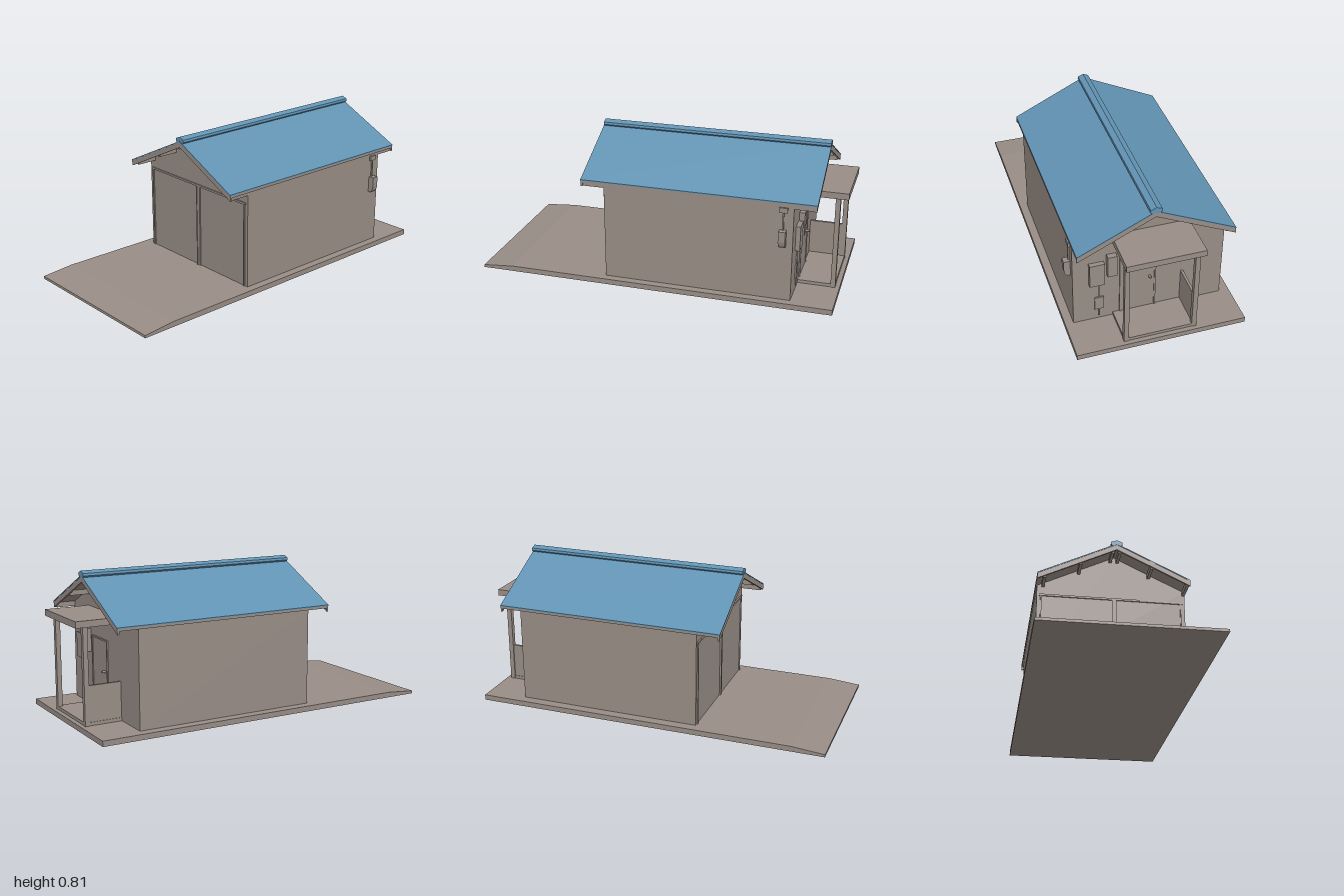
import * as THREE from 'three';

const taupe = new THREE.MeshStandardMaterial({ color: 0x988d86 });
taupe.name = 'taupe';
const blue = new THREE.MeshStandardMaterial({ color: 0x6293b3 });
blue.name = 'roof blue';

export function createModel() {
  const model = new THREE.Group();
  model.name = 'garage';

  const add = (name, geometry, material = taupe) => {
    const mesh = new THREE.Mesh(geometry, material);
    mesh.name = name;
    model.add(mesh);
    return mesh;
  };
  // box given by its lower and upper limits on each axis
  const box = (name, [x0, x1], [y0, y1], [z0, z1], material) => {
    const mesh = add(name, new THREE.BoxGeometry(x1 - x0, y1 - y0, z1 - z0), material);
    mesh.position.set((x0 + x1) / 2, (y0 + y1) / 2, (z0 + z1) / 2);
    return mesh;
  };
  // x,y outline extruded from z0 to z1
  const prism = (name, points, z0, z1, material) => {
    const shape = new THREE.Shape(points.map(([x, y]) => new THREE.Vector2(x, y)));
    const g = new THREE.ExtrudeGeometry(shape, { depth: z1 - z0, bevelEnabled: false });
    return add(name, g.translate(0, 0, z0), material);
  };

  // ground slab with a sloping front apron (outline in z,y turned to run along x)
  const slab = prism('groundSlab', [[-1, 0], [0.98, 0], [0.98, 0.03], [-0.82, 0.03], [-1, 0.015]], -0.46, 0.46);
  slab.rotation.y = Math.PI / 2;

  // gabled body
  const mid = 0.018, eaveL = -0.413, eaveR = 0.422;
  const roofY = (x) => 0.778 - Math.abs(x - mid) * 0.482;
  prism('walls', [
    [-0.405, 0.03], [0.415, 0.03], [0.415, roofY(0.415) - 0.01],
    [mid, 0.768], [-0.405, roofY(-0.405) - 0.01],
  ], -0.75, 0.28);

  // chevron layer between two depths below the roof surface
  const chevron = (name, top, bottom, z0, z1, material) => prism(name, [
    [eaveL, roofY(eaveL) - top], [eaveL, roofY(eaveL) - bottom], [mid, 0.778 - bottom],
    [eaveR, roofY(eaveR) - bottom], [eaveR, roofY(eaveR) - top], [mid, 0.778 - top],
  ], z0, z1, material);
  chevron('roofSheet', -0.004, 0.002, -0.87, 0.41, blue);
  chevron('roofDeck', 0.002, 0.014, -0.865, 0.405);
  chevron('frontBargeBoard', 0.002, 0.032, 0.397, 0.408);
  chevron('backBargeBoard', 0.002, 0.032, -0.868, -0.857);
  prism('ridgeCap', [
    [mid - 0.022, 0.77], [mid + 0.022, 0.77], [mid + 0.032, 0.78], [mid + 0.03, 0.793],
    [mid, 0.805], [mid - 0.03, 0.793], [mid - 0.032, 0.78],
  ], -0.87, 0.407, blue);

  // purlins under the overhangs
  for (const s of [-1, 1]) for (const d of [0.02, 0.195, 0.39]) {
    const x = mid + s * d, y = roofY(x);
    box('purlin', [x - 0.008, x + 0.008], [y - 0.038, y - 0.01], [-0.857, 0.397]);
  }

  // garage doors: lintel, jambs and centre post
  box('doorLintel', [-0.393, 0.402], [0.497, 0.508], [0.28, 0.287]);
  for (const [x0, x1] of [[-0.385, -0.378], [0.008, 0.032], [0.388, 0.395]])
    box('doorPost', [x0, x1], [0.03, 0.497], [0.28, 0.287]);
  box('doorCentreStrip', [0.008, 0.012], [0.03, 0.497], [0.287, 0.29]);

  // back porch
  box('porchFloor', [-0.19, 0.2], [0.03, 0.048], [-0.955, -0.75]);
  box('porchCanopy', [-0.205, 0.21], [0.549, 0.584], [-1, -0.75]);
  for (const x of [-0.18, 0.19])
    box('porchPost', [x - 0.013, x + 0.013], [0.03, 0.55], [-0.957, -0.931]);
  box('porchSideWall', [-0.187, -0.173], [0.03, 0.242], [-0.931, -0.75]);

  // back door with frame and knob
  box('backDoor', [-0.025, 0.155], [0.048, 0.42], [-0.753, -0.75]);
  for (const [x0, x1] of [[-0.034, -0.025], [0.155, 0.164]])
    box('backDoorJamb', [x0, x1], [0.048, 0.429], [-0.757, -0.75]);
  box('backDoorHead', [-0.025, 0.155], [0.42, 0.429], [-0.757, -0.75]);
  const knob = add('doorKnob', new THREE.CylinderGeometry(0.007, 0.007, 0.02, 10));
  knob.rotation.x = Math.PI / 2;
  knob.position.set(0, 0.255, -0.762);

  // utility boxes on the back wall
  box('meterBox', [0.25, 0.33], [0.28, 0.42], [-0.775, -0.75]);
  box('switchBox', [0.185, 0.235], [0.33, 0.46], [-0.78, -0.75]);
  box('lowerBox', [0.25, 0.3], [0.1, 0.18], [-0.758, -0.75]);
  box('conduit', [0.272, 0.278], [0.05, 0.28], [-0.756, -0.75]);

  // service box, cable and bracket on the left wall
  prism('serviceBox', [
    [0.415, 0.34], [0.434, 0.34], [0.444, 0.355], [0.449, 0.375], [0.449, 0.432], [0.415, 0.432],
  ], -0.715, -0.678);
  box('serviceCable', [0.415, 0.423], [0.43, 0.53], [-0.7, -0.693]);
  box('serviceBracket', [0.415, 0.426], [0.53, 0.557], [-0.719, -0.675]);

  return model;
}
